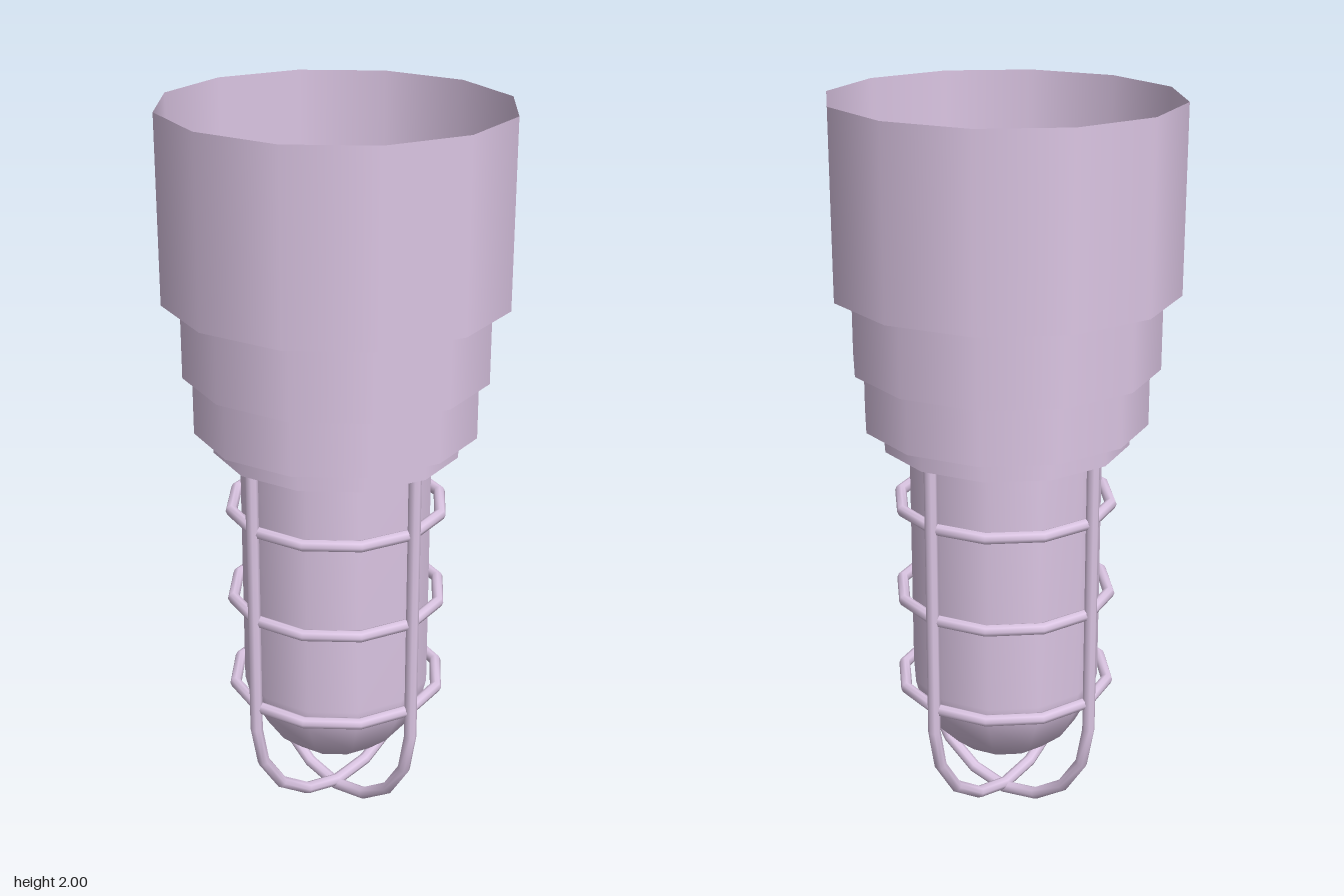
import * as THREE from 'three';

const SIDES = 12;
const material = new THREE.MeshStandardMaterial({ color: 0xdcc6e4, side: THREE.DoubleSide });

function add(parent, name, geometry) {
  const mesh = new THREE.Mesh(geometry, material);
  mesh.name = name;
  parent.add(mesh);
  return mesh;
}

// Open-topped cup: a wall with a flat floor
function addTier(parent, name, rx, rz, bottom, top) {
  const tier = new THREE.Group();
  tier.name = name;
  const wall = add(tier, name + 'Wall', new THREE.CylinderGeometry(1, 1, top - bottom, SIDES, 1, true));
  wall.position.y = (top + bottom) / 2;
  const floor = add(tier, name + 'Floor', new THREE.CircleGeometry(1, SIDES).rotateX(Math.PI / 2));
  floor.position.y = bottom;
  tier.scale.set(rx, 1, rz);
  parent.add(tier);
}

// U-shaped guard bar: straight legs joined by a half circle
class GuardCurve extends THREE.Curve {
  constructor(radius, bottom, top) {
    super();
    this.points = [new THREE.Vector3(-radius, top, 0)];
    for (let i = 0; i <= 8; i++) {
      const a = (i / 8) * Math.PI;
      this.points.push(new THREE.Vector3(-radius * Math.cos(a), bottom + radius - radius * Math.sin(a), 0));
    }
    this.points.push(new THREE.Vector3(radius, top, 0));
  }
  getUtoTmapping(u) { return u; }
  getPoint(t, target = new THREE.Vector3()) {
    const f = t * (this.points.length - 1);
    const i = Math.min(Math.floor(f), this.points.length - 2);
    return target.lerpVectors(this.points[i], this.points[i + 1], f - i);
  }
  getTangent(t, target = new THREE.Vector3()) {
    const a = THREE.MathUtils.clamp((t * 10 - 1) / 8, 0, 1) * Math.PI;
    return target.set(Math.sin(a), -Math.cos(a), 0);
  }
}

export function createModel() {
  const model = new THREE.Group();
  model.name = 'cagedLamp';

  // Stepped housing
  addTier(model, 'mountingCup', 0.453, 0.463, 1.51, 2);
  addTier(model, 'upperCollar', 0.405, 0.415, 1.31, 1.51);
  addTier(model, 'lowerCollar', 0.382, 0.384, 1.155, 1.31);
  addTier(model, 'neckRing', 0.331, 0.336, 1.095, 1.155);

  // Glass cover with a domed lower end
  const profile = [[0, 0.163], [0.07, 0.172], [0.135, 0.2], [0.2, 0.255], [0.245, 0.34], [0.262, 0.41], [0.262, 1.1]]
    .map(([r, y]) => new THREE.Vector2(r, y));
  add(model, 'glassCover', new THREE.LatheGeometry(profile, SIDES));

  // Wire guard
  const guard = new THREE.Group();
  guard.name = 'wireGuard';
  model.add(guard);
  add(guard, 'sideGuardBar', new THREE.TubeGeometry(new GuardCurve(0.298, 0.03, 1.1), 10, 0.017, 8));
  add(guard, 'frontGuardBar', new THREE.TubeGeometry(new GuardCurve(0.298, 0.017, 1.1), 10, 0.017, 8))
    .rotation.y = Math.PI / 2;
  for (const y of [0.923, 0.66, 0.393]) {
    add(guard, 'guardRing', new THREE.TorusGeometry(0.289, 0.016, 8, SIDES).rotateX(Math.PI / 2)).position.y = y;
  }
  return model;
}
